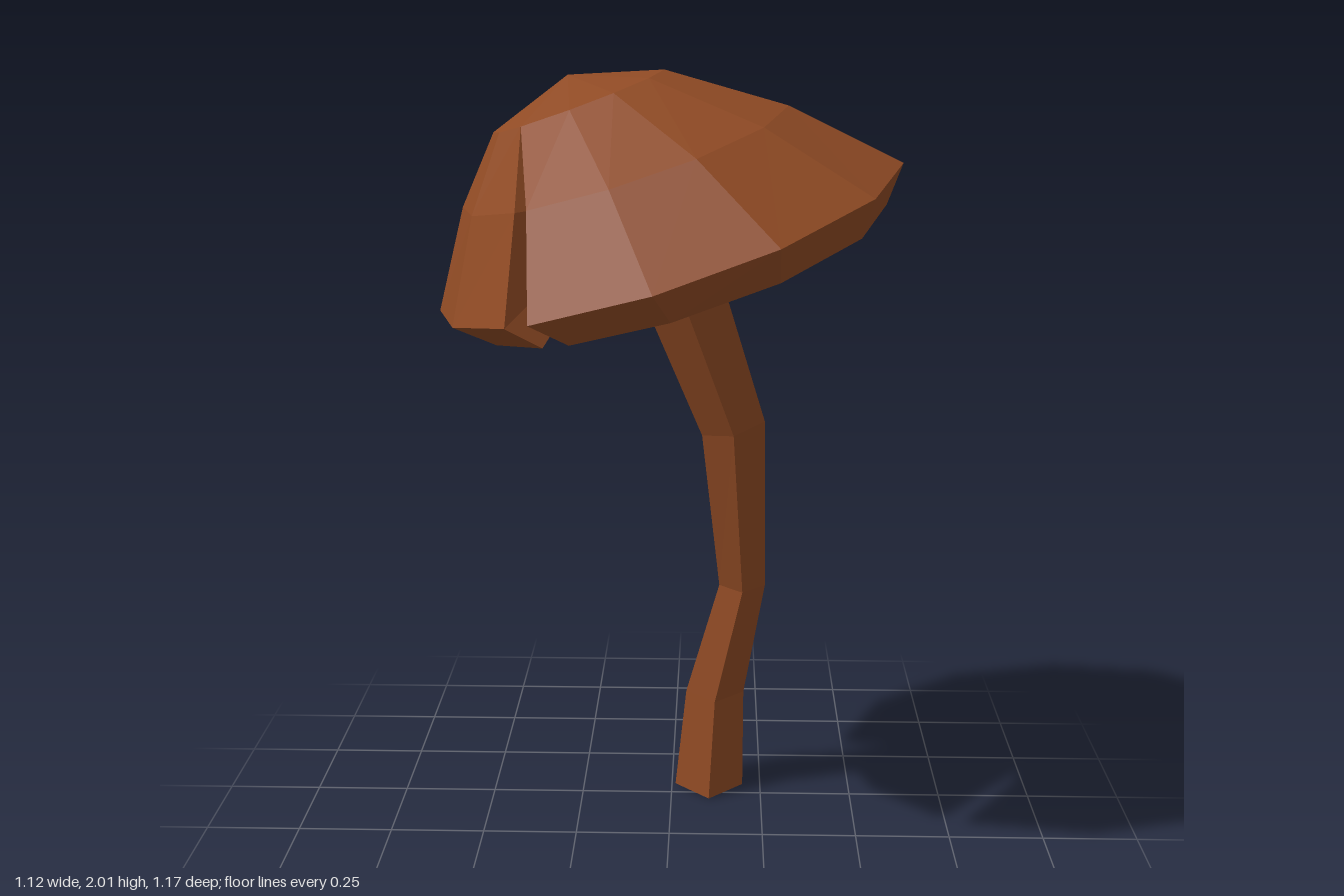
import * as THREE from 'three';

const brown = new THREE.MeshStandardMaterial({ color: 0x8f4a24 });
brown.name = 'mushroom brown';

// Collects triangles into an unindexed geometry, so every facet stays flat
function facets() {
  const pos = [];
  const tri = (a, b, c) => pos.push(...a, ...b, ...c);
  const quad = (a, b, c, d) => { tri(a, b, c); tri(a, c, d); };
  const mesh = (name) => {
    const geo = new THREE.BufferGeometry();
    geo.setAttribute('position', new THREE.Float32BufferAttribute(pos, 3));
    geo.computeVertexNormals();
    const m = new THREE.Mesh(geo, brown);
    m.name = name;
    return m;
  };
  return { tri, quad, mesh };
}

// Bent four-sided stem: centre x, y, z, radius, slope along x
function buildStem() {
  const sections = [
    [0.105, 0, -0.305, 0.095, 0],
    [0.12, 0.285, -0.305, 0.08, 0],
    [0.192, 0.62, -0.25, 0.062, 0],
    [0.163, 1.09, -0.135, 0.081, 0.24],
    [-0.06, 1.73, 0.01, 0.109, 0.3],
  ];
  const rings = sections.map(([x, y, z, r, slope]) => [0, 1, 2, 3].map((i) => {
    const a = (i * Math.PI) / 2;
    const dx = r * Math.cos(a);
    return [x + dx, y + slope * dx, z + r * Math.sin(a)];
  }));
  const f = facets();
  for (let s = 0; s < rings.length - 1; s++) {
    for (let i = 0; i < 4; i++) {
      const j = (i + 1) % 4;
      f.quad(rings[s + 1][i], rings[s + 1][j], rings[s][j], rings[s][i]);
    }
  }
  const base = rings[0], top = rings[rings.length - 1];
  f.quad(base[0], base[1], base[2], base[3]);
  f.quad(top[3], top[2], top[1], top[0]);
  return f.mesh('stem');
}

// Tilted cap: four rings from crown to lower lip, with two split wedges
function buildCap() {
  // centre x, centre z, radius x, radius z, then height = h + sx * x + sz * z
  const levels = [
    { cx: -0.215, cz: 0.02, rx: 0.205, rz: 0.18, h: 2.01, sx: 0.36, sz: -0.03 },
    { cx: -0.107, cz: 0.01, rx: 0.392, rz: 0.41, h: 1.836, sx: 0.31, sz: -0.07 },
    { cx: 0, cz: 0, rx: 0.562, rz: 0.583, h: 1.61, sx: 0.32, sz: -0.07 },
    { cx: 0.035, cz: 0, rx: 0.49, rz: 0.53, h: 1.527, sx: 0.311, sz: -0.07 },
  ];
  // angle of each column at the four levels, in degrees
  const same = (a) => [a, a, a, a];
  const columns = [
    same(2), same(33), same(63), same(92),
    [127, 121, 122, 120], [127, 126, 129, 129],
    same(152),
    [180, 178, 176.5, 176.5], [180, 181, 184, 184],
    same(214), same(243), same(272), same(301), same(332),
  ].map((angles) => levels.map((l, k) => {
    const a = THREE.MathUtils.degToRad(angles[k]);
    const x = l.cx + l.rx * Math.cos(a), z = l.cz + l.rz * Math.sin(a);
    return [x, l.h + l.sx * x + l.sz * z, z];
  }));
  const splits = [4, 7]; // the wedge lies after these columns
  const crown = [-0.24, 1.993, 0.02];
  const hollow = [-0.07, 1.71, 0.01];

  const f = facets();
  columns.forEach((a, i) => {
    const b = columns[(i + 1) % columns.length];
    if (splits.includes(i)) {
      // walls on both sides of the split
      for (let k = 0; k < 3; k++) {
        f.tri(hollow, a[k + 1], a[k]);
        f.tri(hollow, b[k], b[k + 1]);
      }
      return;
    }
    f.tri(crown, b[0], a[0]);
    for (let k = 0; k < 3; k++) f.quad(a[k], b[k], b[k + 1], a[k + 1]);
    f.tri(a[3], b[3], hollow);
  });
  return f.mesh('cap');
}

export function createModel() {
  const group = new THREE.Group();
  group.name = 'mushroom';
  group.add(buildStem(), buildCap());
  return group;
}
